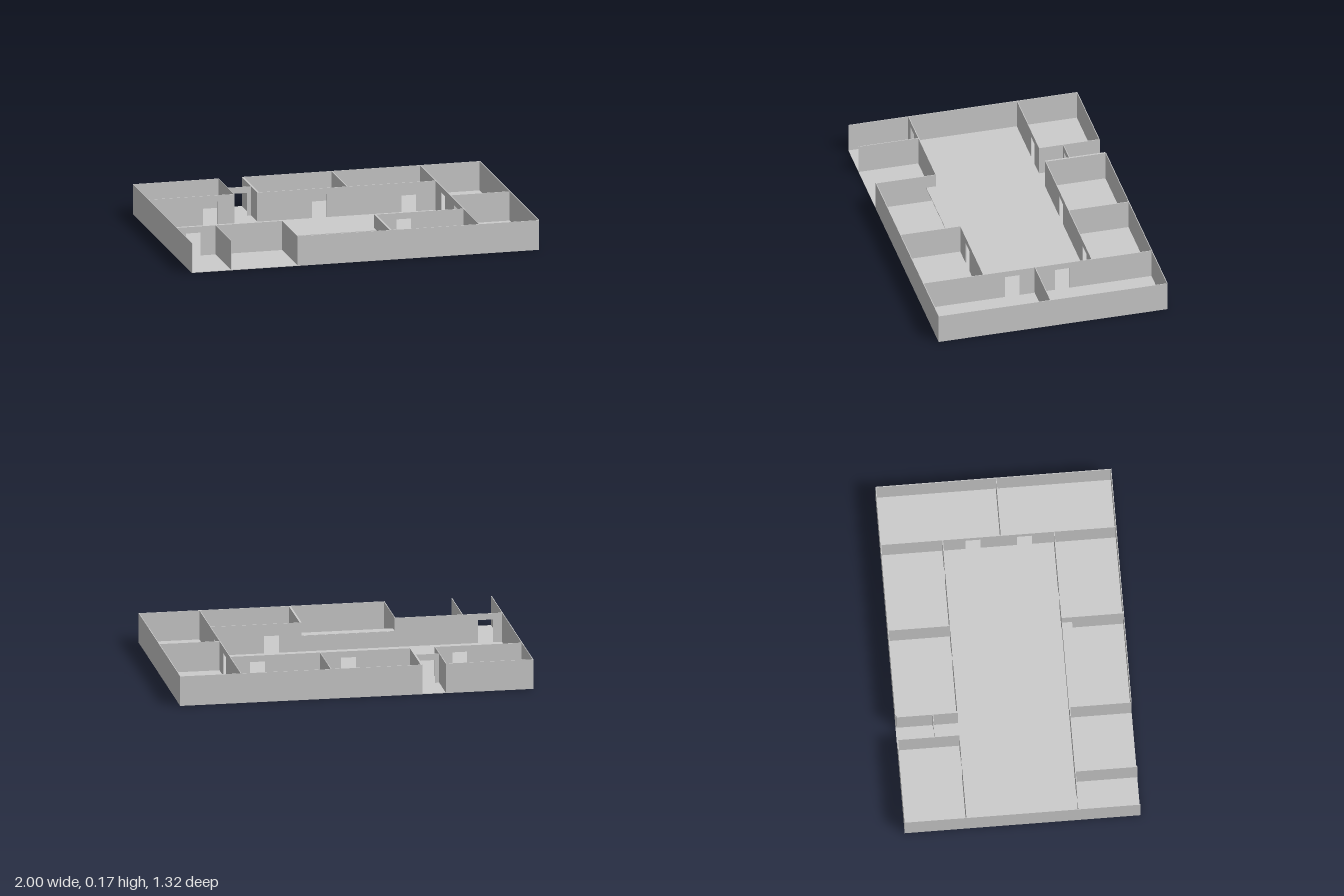
import * as THREE from 'three';

const HEIGHT = 0.171, FLOOR = 0.003, DOOR_TOP = 0.135, DOOR_WIDTH = 0.084;
const material = new THREE.MeshStandardMaterial({ color: 0xcccccc, flatShading: true });

// Upright panel from a to b, notched from below by a doorway at each centre in doors
function panel(a, b, doors, thickness, height) {
  const s = new THREE.Shape();
  s.moveTo(a, 0);
  for (const d of doors) {
    const l = d - DOOR_WIDTH / 2, r = d + DOOR_WIDTH / 2;
    s.lineTo(l, 0);
    s.lineTo(l, DOOR_TOP);
    s.lineTo(r, DOOR_TOP);
    s.lineTo(r, 0);
  }
  s.lineTo(b, 0);
  s.lineTo(b, height);
  s.lineTo(a, height);
  s.closePath();
  const g = new THREE.ExtrudeGeometry(s, { depth: thickness, bevelEnabled: false });
  return g.translate(0, 0, -thickness / 2);
}

export function createModel() {
  const model = new THREE.Group();
  const add = (name, geometry) => {
    const mesh = new THREE.Mesh(geometry, material);
    mesh.name = name;
    model.add(mesh);
    return mesh;
  };
  // Wall running along x at a fixed z
  const wallAlongX = (name, z, a, b, doors = [], t = 0.004, h = HEIGHT) =>
    add(name, panel(a, b, doors, t, h).translate(0, 0, z));
  // Wall running along z at a fixed x
  const wallAlongZ = (name, x, a, b, doors = [], t = 0.004) =>
    add(name, panel(a, b, doors, t, HEIGHT).rotateY(-Math.PI / 2).translate(x, 0, 0));

  // Floor slab
  add('floor', new THREE.BoxGeometry(2, FLOOR, 1.32).translate(0, FLOOR / 2, 0));

  // Outer walls, open at the front porch and the back passage
  wallAlongX('frontWall', 0.658, -0.39, 1);
  wallAlongX('backWallLeft', -0.658, -0.37, 1);
  wallAlongX('backWallRight', -0.658, -1, -0.506);
  wallAlongZ('leftOuterWall', 0.998, -0.66, 0.66);
  wallAlongZ('rightOuterWall', -0.998, -0.66, 0.66);

  // Back rooms and passage
  wallAlongX('backRoomsWall', -0.312, -0.37, 0.655, [-0.015, 0.5]);
  wallAlongX('cornerRoomWall', -0.312, -1, -0.506, [-0.645]);
  wallAlongZ('cornerRoomSideWall', -0.506, -0.66, -0.31);
  wallAlongZ('passageSideWall', -0.368, -0.655, -0.31, [], 0.011);
  wallAlongX('passageDoorWall', -0.45, -0.506, -0.37, [-0.438]);
  wallAlongZ('backRoomsDivider', 0.145, -0.66, -0.31);

  // End rooms
  wallAlongZ('endRoomsWall', 0.655, -0.655, 0.66, [-0.143, 0.147]);
  wallAlongX('endRoomsDivider', 0.015, 0.655, 1);

  // Front rooms and open porch
  wallAlongX('porchWall', 0.314, -1, -0.39, [-0.903]);
  wallAlongZ('porchDivider', -0.773, 0.314, 0.66);
  wallAlongZ('porchSideWall', -0.39, 0.314, 0.66);
  wallAlongX('frontRoomWall', 0.312, 0.145, 0.655, [0.31]);
  wallAlongZ('frontRoomSideWall', 0.145, 0.31, 0.66, [], 0.011);

  // Half wall with serving counter
  wallAlongX('counterHalfWall', 0.314, -0.39, 0.145, [], 0.004, 0.093);
  add('counterTop', new THREE.BoxGeometry(0.535, 0.005, 0.057).translate(-0.1225, 0.0925, 0.3415));

  return model;
}
